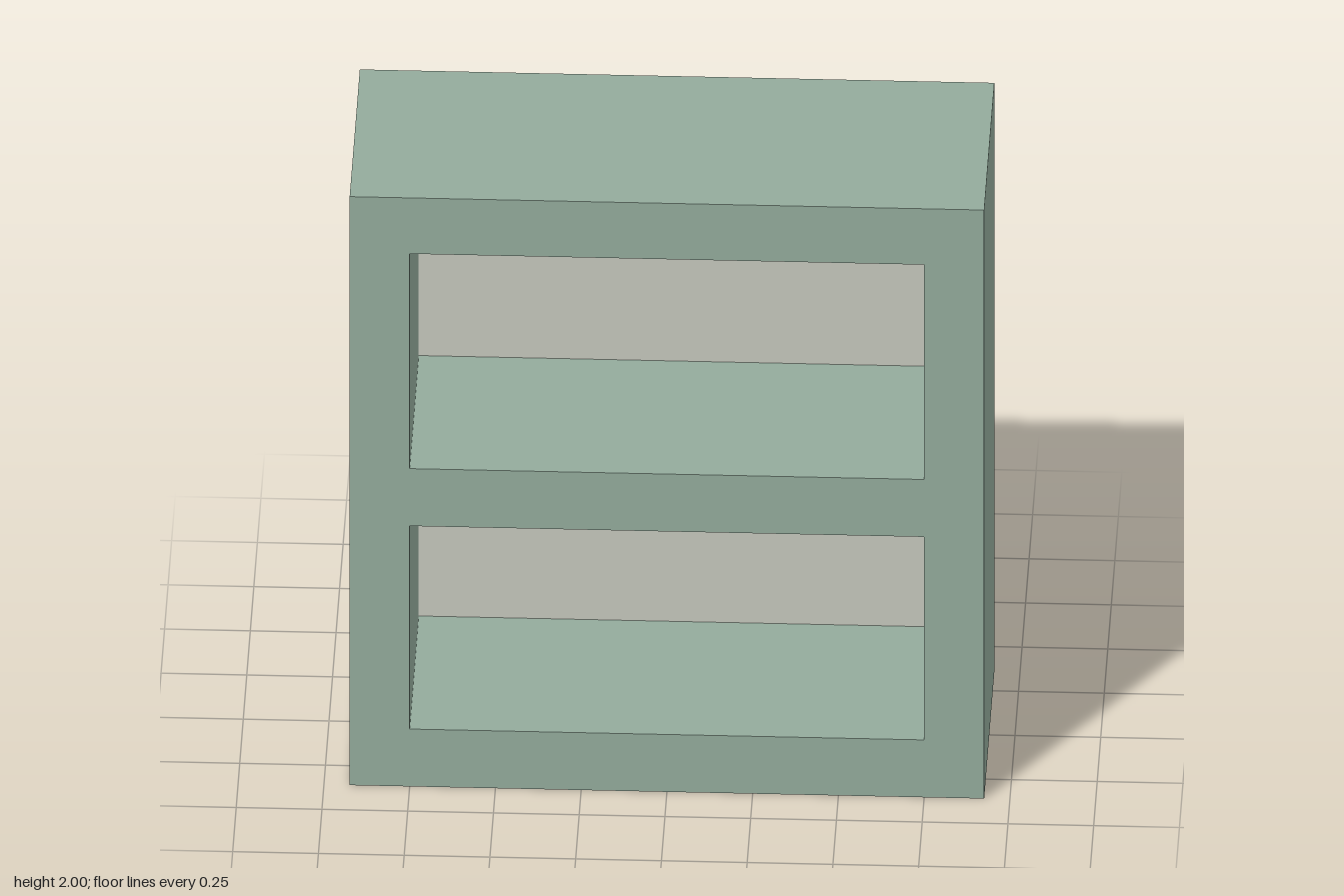
import * as THREE from 'three';

// Closed rectangular outline from corner to corner
function rect(Kind, x0, y0, x1, y1) {
  return new Kind([[x0, y0], [x1, y0], [x1, y1], [x0, y1]].map(([x, y]) => new THREE.Vector2(x, y)));
}

export function createModel() {
  const green = new THREE.MeshStandardMaterial({ name: 'sageGreen', color: 0x93ab9c });
  const beige = new THREE.MeshStandardMaterial({ name: 'paleBeige', color: 0xc5c7bc });

  const W = 0.925, H = 2, D = 0.72, panelDepth = 0.08, inset = 0.003;
  const group = new THREE.Group();
  group.name = 'bookcase';

  // Thick frame with two open compartments
  const shape = rect(THREE.Shape, -W, 0, W, H);
  for (const [y0, y1] of [[0.195, 0.885], [1.08, 1.81]]) {
    shape.holes.push(rect(THREE.Path, -0.75, y0, 0.75, y1));
  }
  const frameGeometry = new THREE.ExtrudeGeometry(shape, { depth: D, bevelEnabled: false });
  frameGeometry.translate(0, 0, -D / 2);
  const frame = new THREE.Mesh(frameGeometry, green);
  frame.name = 'frame';
  group.add(frame);

  // Back panel closing the compartments, set just inside the frame's surfaces
  const panel = new THREE.Mesh(
    new THREE.BoxGeometry(2 * (W - inset), H - 2 * inset, panelDepth - inset), beige);
  panel.position.set(0, H / 2, -D / 2 + (panelDepth + inset) / 2);
  panel.name = 'backPanel';
  group.add(panel);

  return group;
}
